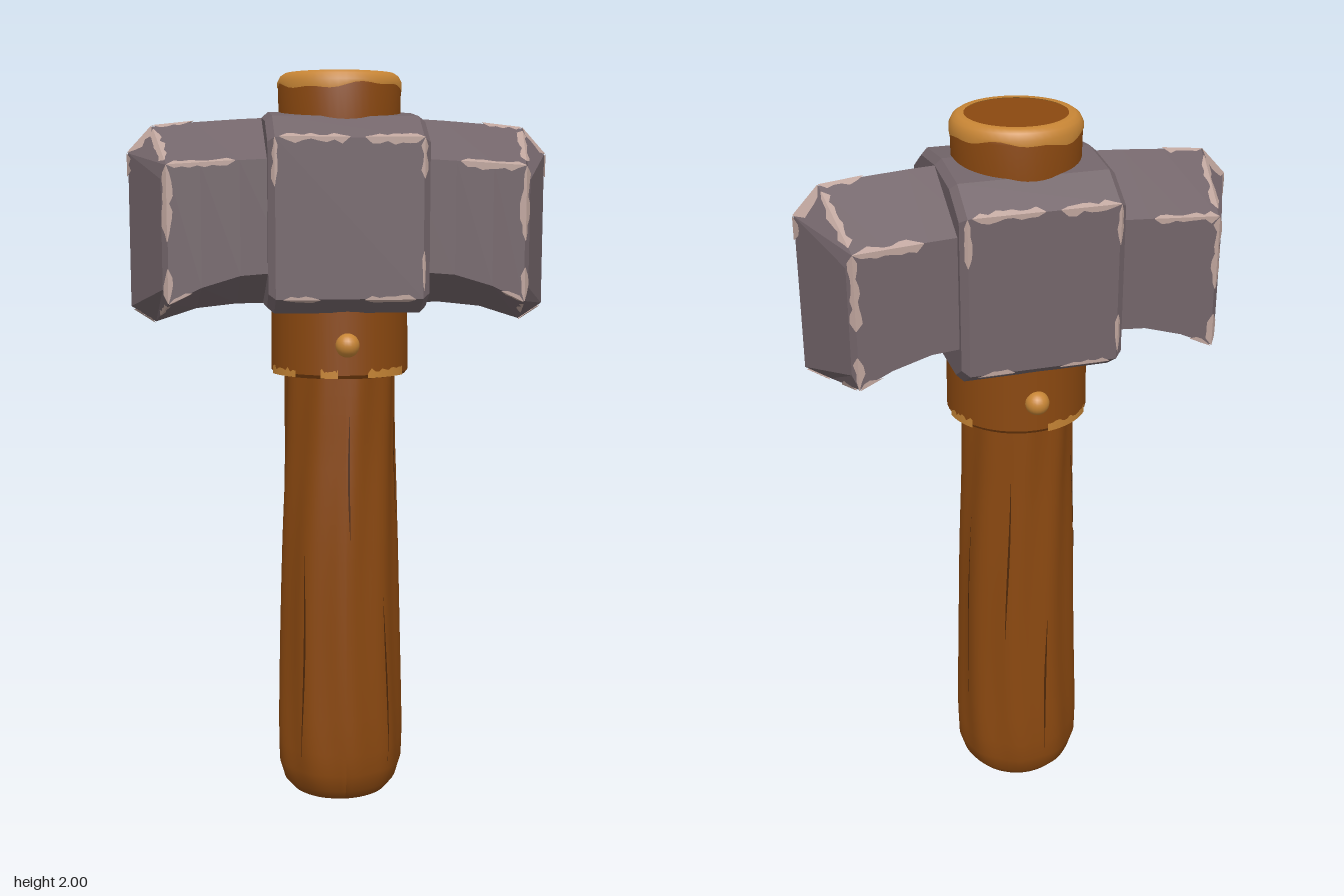
import * as THREE from 'three';

const paint = (name, color, side = THREE.FrontSide) => {
  const m = new THREE.MeshStandardMaterial({ color, side });
  m.name = name;
  return m;
};

// small seeded random, 0..1
let seed = 7;
const rnd = () => (seed = (seed * 16807) % 2147483647) / 2147483647;

function add(parent, name, geo, mat) {
  const mesh = new THREE.Mesh(geo, mat);
  mesh.name = name;
  parent.add(mesh);
  return mesh;
}

function fromTriangles(tris) {
  const g = new THREE.BufferGeometry().setFromPoints(tris);
  g.computeVertexNormals();
  return g;
}

// faceted skin over loops of points running along +x, closed at both ends
function loft(loops) {
  const t = [], n = loops[0].length, last = loops[loops.length - 1];
  for (let s = 0; s < loops.length - 1; s++) {
    for (let j = 0; j < n; j++) {
      const k = (j + 1) % n;
      const a = loops[s][j], b = loops[s][k], c = loops[s + 1][k], d = loops[s + 1][j];
      t.push(a, b, c, a, c, d);
    }
  }
  for (let j = 1; j < n - 1; j++) {
    t.push(last[0], last[j], last[j + 1], loops[0][0], loops[0][j + 1], loops[0][j]);
  }
  return fromTriangles(t);
}

// ragged worn strip folded over edge a-b; p and q lie on the two faces beside it
function wearStrip(a, b, p, q, from, to, width) {
  const dir = b.clone().sub(a).normalize();
  const into = (c) => {
    const v = c.clone().sub(a);
    return v.addScaledVector(dir, -v.dot(dir)).normalize();
  };
  const u = into(p), v = into(q);
  const out = u.clone().add(v).normalize().multiplyScalar(-0.004);
  const n = Math.max(4, Math.round(a.distanceTo(b) * (to - from) * 50));
  const rows = [];
  for (let i = 0; i <= n; i++) {
    const mid = a.clone().lerp(b, from + (to - from) * i / n).add(out);
    const taper = i === 0 || i === n ? 0.1 : 1;
    const side = (w) => mid.clone().addScaledVector(w, taper * width * (0.35 + 0.8 * rnd()));
    rows.push([side(u), mid, side(v)]);
  }
  const t = [];
  for (let i = 0; i < n; i++) {
    for (let j = 0; j < 2; j++) {
      const [A, B, C, D] = [rows[i][j], rows[i][j + 1], rows[i + 1][j + 1], rows[i + 1][j]];
      t.push(A, B, C, A, C, D);
    }
  }
  return fromTriangles(t);
}

const lathe = (pts, seg = 48) => new THREE.LatheGeometry(pts.map(([r, y]) => new THREE.Vector2(r, y)), seg);

// handle radius by height, with shallow wandering wood grooves
const SHAFT = [[0, 0], [0.1, 0], [0.135, 0.01], [0.16, 0.04], [0.174, 0.09], [0.175, 0.2], [0.168, 0.45],
  [0.16, 0.75], [0.152, 1.0], [0.15, 1.25]];
function shaftRadius(y) {
  for (let i = 2; i < SHAFT.length; i++) {
    const [r0, y0] = SHAFT[i - 1], [r1, y1] = SHAFT[i];
    if (y <= y1) return r0 + (r1 - r0) * (y - y0) / (y1 - y0);
  }
  return 0.15;
}
const groove = (a, y) => 0.004 * Math.sin(9 * a + 1.6 * Math.sin(3 * y)) * Math.min(1, y * 8);

export function createModel() {
  seed = 7;
  const wood = paint('wood', 0x8a4810);
  const darkWood = paint('dark wood grain', 0x4f2808, THREE.DoubleSide);
  const paleWood = paint('pale worn wood', 0xc78535, THREE.DoubleSide);
  const iron = paint('iron', 0x73656a);
  const wornIron = paint('worn iron', 0xbea49c, THREE.DoubleSide);

  const model = new THREE.Group();
  model.name = 'hammer';

  // handle shaft
  const rows = SHAFT.slice(0, 5);
  for (let y = 0.15; y < 1.26; y += 0.05) rows.push([shaftRadius(y), y]);
  const shaft = lathe(rows, 72);
  const pos = shaft.attributes.position;
  for (let i = 0; i < pos.count; i++) {
    const x = pos.getX(i), y = pos.getY(i), z = pos.getZ(i), r = Math.hypot(x, z);
    if (r < 0.01) continue;
    const k = 1 + groove(Math.atan2(x, z), y) / r;
    pos.setXYZ(i, x * k, y, z * k);
  }
  shaft.computeVertexNormals();
  add(model, 'handleShaft', shaft, wood);

  // thin dark cracks: angle, bottom, top
  const cracks = [[-0.75, 0.1, 0.75], [0.7, 0.1, 0.6], [0.1, 0.75, 1.1], [1.9, 0.25, 0.9], [2.7, 0.5, 1.05],
    [3.4, 0.12, 0.6], [4.2, 0.6, 1.1], [1.3, 0.8, 1.15]];
  for (const [angle, y0, y1] of cracks) {
    const t = [], n = 14;
    const at = (i, side) => {
      const y = y0 + (y1 - y0) * i / n;
      const a = angle + 0.05 * Math.sin(5 * y + angle) + side * 0.018 * Math.sin(Math.PI * i / n);
      const r = shaftRadius(y) + groove(a, y) + 0.0015;
      return new THREE.Vector3(r * Math.sin(a), y, r * Math.cos(a));
    };
    for (let i = 0; i < n; i++) {
      t.push(at(i, -1), at(i, 1), at(i + 1, 1), at(i, -1), at(i + 1, 1), at(i + 1, -1));
    }
    add(model, 'grainCrack', fromTriangles(t), darkWood);
  }

  // collar under the head, with worn patches on its lower edge
  add(model, 'collar', lathe([[0.14, 1.2], [0.18, 1.2], [0.18, 1.2], [0.188, 1.21], [0.188, 1.21],
    [0.186, 1.38], [0.186, 1.38], [0.14, 1.39]]), wood);
  for (const [start, length] of [[0.3, 0.7], [1.7, 0.5], [3.3, 0.8], [4.9, 0.6], [5.9, 0.25]]) {
    const g = new THREE.CylinderGeometry(0.1895, 0.1895, 0.022, 12, 1, true, start, length);
    for (let i = 0; i < 13; i++) g.attributes.position.setY(i, 0.002 + 0.014 * rnd());
    add(model, 'collarWear', g.translate(0, 1.213, 0), paleWood);
  }

  // rivets front and back
  for (const s of [1, -1]) {
    add(model, 'rivet', new THREE.SphereGeometry(0.032, 20, 14).translate(0, 1.29, s * 0.187), paleWood);
  }

  // handle end above the head, with a pale ragged rim
  add(model, 'handleTop', lathe([[0.163, 1.86], [0.165, 1.965], [0.155, 1.985], [0.13, 1.998]]), wood);
  add(model, 'handleTopFace', new THREE.CircleGeometry(0.131, 48).rotateX(-Math.PI / 2).translate(0, 1.998, 0), wood);
  const rim = lathe([[0.167, 1.955], [0.167, 1.976], [0.159, 1.992], [0.147, 2], [0.13, 2]]);
  for (let i = 0; i <= 48; i++) {
    rim.attributes.position.setY(i * 5, 1.962 + 0.007 * Math.sin(i * Math.PI / 8) + 0.004 * Math.sin(i * Math.PI / 3));
  }
  add(model, 'handleTopRim', rim, paleWood);

  // head centre block
  const head = new THREE.Group();
  head.name = 'head';
  model.add(head);
  const V = (x, y, z) => new THREE.Vector3(x, y, z);
  const blockLoop = (x, inset) => {
    const half = [[0, 1.9], [0.15, 1.883], [0.242, 1.825], [0.242, 1.415], [0.18, 1.375]];
    const ring = [...half, ...half.slice(1).reverse().map(([z, y]) => [-z, y])];
    return ring.map(([z, y]) => V(x, 1.64 + (y - 1.64) * (1 - inset), z * (1 - inset)));
  };
  const block = [blockLoop(-0.21, 0.06), blockLoop(-0.192, 0), blockLoop(0.192, 0), blockLoop(0.21, 0.06)];
  add(head, 'centreBlock', loft(block), iron);

  // hammer arm: top ridge, front edges, bottom ridge, back edges
  const armLoop = (xSide, xMid, z, top, up, low, bottom) => [V(xMid, top, 0), V(xSide, up, z), V(xSide, low, z),
    V(xMid, bottom, 0), V(xSide, low, -z), V(xSide, up, -z)];
  const arm = [
    armLoop(0.15, 0.15, 0.212, 1.887, 1.775, 1.485, 1.39),
    armLoop(0.28, 0.28, 0.212, 1.88, 1.768, 1.475, 1.39),
    armLoop(0.38, 0.39, 0.212, 1.872, 1.762, 1.445, 1.378),
    armLoop(0.465, 0.5, 0.212, 1.86, 1.755, 1.405, 1.343),
    armLoop(0.48, 0.565, 0.198, 1.79, 1.72, 1.44, 1.385),
  ];
  const armGeo = loft(arm);
  const [, a1, a2, a3, a4] = arm;

  for (const s of [1, -1]) {
    // each side is the other turned half a turn
    const side = new THREE.Group();
    side.name = s > 0 ? 'leftSide' : 'rightSide';
    side.rotation.y = s > 0 ? 0 : Math.PI;
    head.add(side);
    add(side, 'hammerArm', armGeo, iron);
    const wear = (...args) => add(side, 'wornEdge', wearStrip(...args), wornIron);

    // worn arm edges, front and back
    for (const [u, l] of [[1, 2], [5, 4]]) {
      wear(arm[0][u], a3[u], arm[0][0], arm[0][l], 0.45, 1, 0.018);
      wear(a3[u], a3[l], a2[u], a4[u], 0, 0.55, 0.016);
      wear(a3[u], a3[l], a2[u], a4[u], 0.75, 1, 0.016);
      wear(a3[0], a3[u], a2[0], a4[0], 0.1, 0.9, 0.016);
      wear(a3[l], a3[3], a2[l], a4[l], 0.1, 0.6, 0.014);
      wear(a2[l], a3[l], a2[u], a2[3], 0.3, 1, 0.012);
    }
    wear(a3[0], a4[0], a3[1], a3[5], 0, 1, 0.045);
    wear(a2[0], a3[0], a2[1], a2[5], 0, 1, 0.02);
    wear(a4[0], a4[3], a4[1], a4[5], 0, 0.15, 0.025);
    wear(a3[3], a4[3], a3[2], a3[4], 0, 0.9, 0.025);

    // worn block edges
    const [, left, right, tip] = block;
    wear(left[2], right[2], left[1], left[3], 0.03, 0.5, 0.016);
    wear(left[2], right[2], left[1], left[3], 0.6, 1, 0.018);
    wear(left[3], right[3], left[2], left[4], 0.05, 0.3, 0.012);
    wear(left[3], right[3], left[2], left[4], 0.6, 0.95, 0.012);
    wear(right[2], right[3], left[2], tip[2], 0, 0.25, 0.01);
    wear(right[2], right[3], left[2], tip[2], 0.7, 0.95, 0.008);
    wear(right[7], right[6], left[7], tip[7], 0, 0.3, 0.01);
  }
  return model;
}
